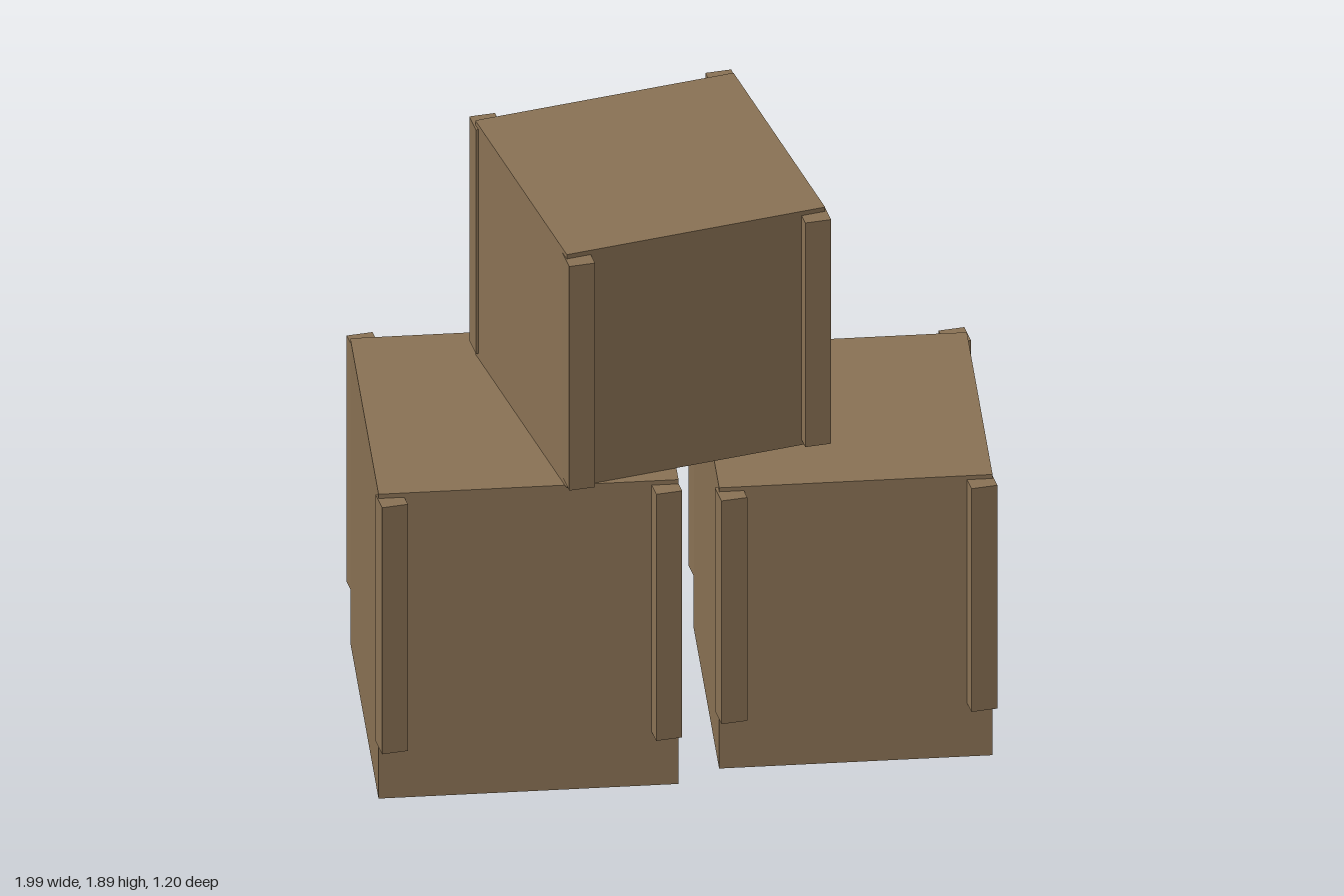
import * as THREE from 'three';

const wood = new THREE.MeshStandardMaterial({ color: 0x8b7355 });
wood.name = 'brown wood';

function box(name, w, h, d, x, y, z) {
  const mesh = new THREE.Mesh(new THREE.BoxGeometry(w, h, d), wood);
  mesh.name = name;
  mesh.position.set(x, y, z);
  return mesh;
}

// A turned crate with four corner battens that stay square to the world axes
function crate({ name, size, x, z, bottom, top, turn, battenBottom, battenTop }) {
  const group = new THREE.Group();
  group.name = name;
  group.position.set(x, 0, z);

  const body = box('crateBody', size, top - bottom, size, 0, (top + bottom) / 2, 0);
  body.rotation.y = turn;
  group.add(body);

  for (const sx of [-1, 1]) {
    for (const sz of [-1, 1]) {
      const corner = new THREE.Vector3(sx * size * 0.457, 0, sz * size * 0.509);
      corner.applyAxisAngle(new THREE.Vector3(0, 1, 0), turn);
      group.add(box('cornerBatten', 0.08, battenTop - battenBottom, 0.08,
        corner.x, (battenTop + battenBottom) / 2, corner.z));
    }
  }
  return group;
}

export function createModel() {
  const model = new THREE.Group();
  model.name = 'crateStack';
  model.add(
    crate({ name: 'largeCrate', size: 0.905, x: -0.474, z: -0.04, bottom: 0, top: 1.07,
      turn: -0.16, battenBottom: 0.188, battenTop: 1.055 }),
    crate({ name: 'smallCrate', size: 0.825, x: 0.514, z: 0.082, bottom: 0, top: 0.987,
      turn: -0.16, battenBottom: 0.188, battenTop: 0.973 }),
    crate({ name: 'topCrate', size: 0.823, x: -0.063, z: 0, bottom: 1.072, top: 1.893,
      turn: 0.087, battenBottom: 1.09, battenTop: 1.878 }),
  );
  return model;
}
